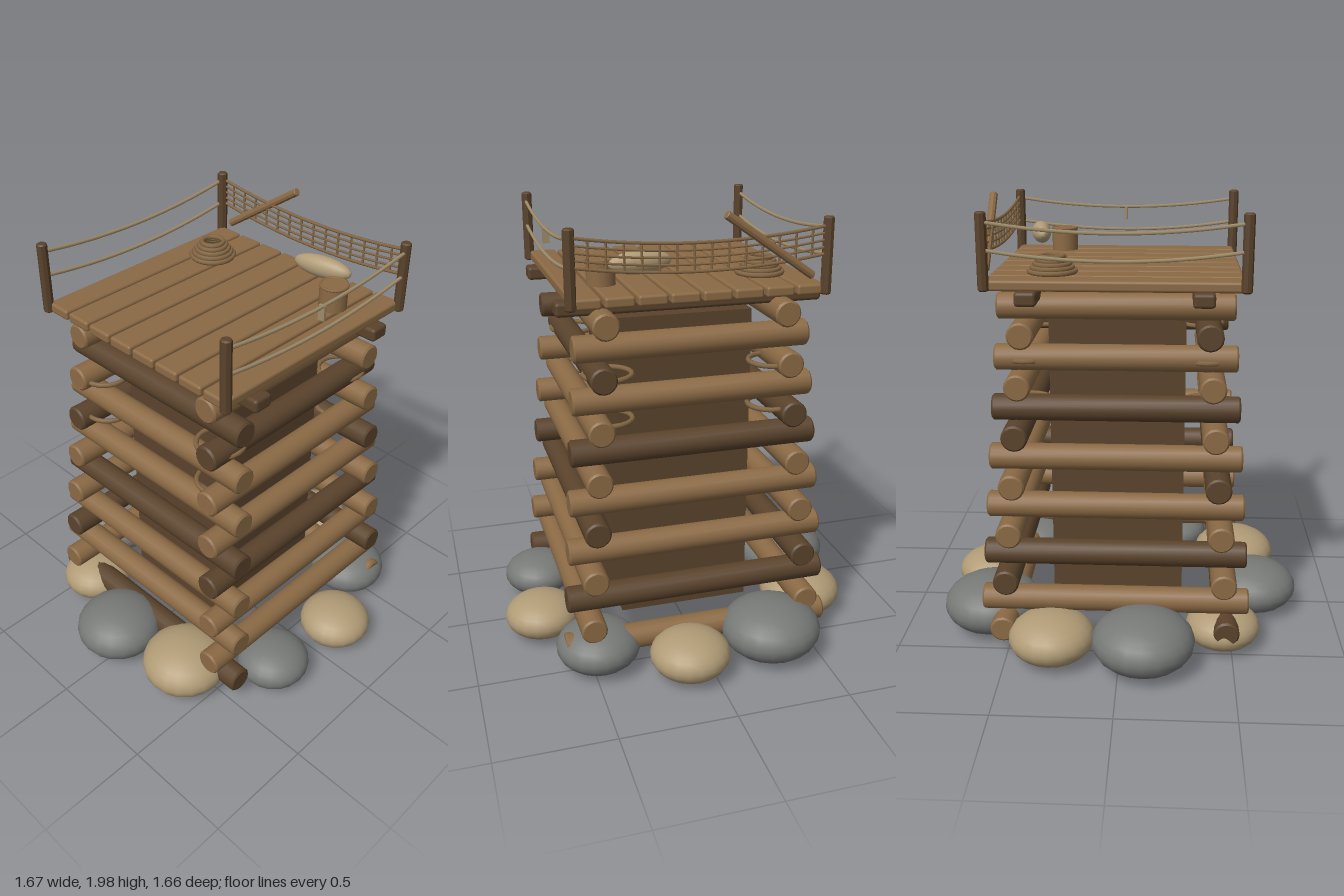
import * as THREE from 'three';
import { toCreasedNormals } from 'three/addons/utils/BufferGeometryUtils.js';
import { RoundedBoxGeometry } from 'three/addons/geometries/RoundedBoxGeometry.js';

const CX = 0.024, CZ = -0.02; // tower axis

function material(name, color) {
  const m = new THREE.MeshStandardMaterial({ color });
  m.name = name;
  return m;
}

export function createModel() {
  const wood = material('light wood', 0x8b6a45);
  const darkWood = material('dark wood', 0x5a432c);
  const rope = material('pale rope', 0x9f8c6a);
  const twine = material('brown twine', 0x846744);
  const grey = material('grey stone', 0x777977);
  const tan = material('tan stone', 0xb09b76);

  const model = new THREE.Group();
  model.name = 'logTower';

  const group = (name) => {
    const g = new THREE.Group();
    g.name = name;
    model.add(g);
    return g;
  };
  const add = (parent, name, geometry, mat, x = 0, y = 0, z = 0) => {
    const mesh = new THREE.Mesh(geometry, mat);
    mesh.name = name;
    mesh.position.set(x, y, z);
    parent.add(mesh);
    return mesh;
  };

  // Round bar along y with chamfered ends
  const bar = (radius, length, sides = 16, chamfer = 0.008) => {
    const h = length / 2;
    const profile = [
      [0, -h], [radius - chamfer, -h], [radius, -h + chamfer],
      [radius, h - chamfer], [radius - chamfer, h], [0, h],
    ].map(([r, y]) => new THREE.Vector2(r, y));
    return toCreasedNormals(new THREE.LatheGeometry(profile, sides), 0.6);
  };

  // Rope between two points, hanging by a given sag
  const hangingRope = (a, b, sag, radius) => {
    const points = [];
    for (let i = 0; i <= 8; i++) {
      const t = i / 8;
      const p = new THREE.Vector3().lerpVectors(a, b, t);
      p.y -= sag * 4 * t * (1 - t);
      points.push(p);
    }
    return new THREE.TubeGeometry(new THREE.CatmullRomCurve3(points), 20, radius, 6);
  };

  // Ring of foundation stones: x, z, radius
  const stones = group('foundationStones');
  [
    [-0.295, -0.6, 0.222], [0.1, -0.66, 0.176], [0.47, -0.49, 0.185], [0.665, -0.153, 0.168],
    [0.615, 0.243, 0.168], [0.34, 0.55, 0.2], [-0.047, 0.622, 0.203], [-0.41, 0.46, 0.167],
    [-0.615, 0.108, 0.225], [-0.565, -0.295, 0.19],
  ].forEach(([x, z, r], i) => {
    const ry = r * 0.58;
    add(stones, 'stone', new THREE.SphereGeometry(1, 20, 14), i % 2 ? tan : grey, x, 0.015 + ry, z)
      .scale.set(r, ry, r);
  });

  // Solid core inside the stacked logs
  add(model, 'core', new THREE.BoxGeometry(0.59, 1.38, 0.59), darkWood, CX, 0.85, CZ);

  // Crossed pairs of logs, narrowing upward
  const logs = group('logWalls');
  for (let i = 0; i < 14; i++) {
    const y = 0.15 + 0.1082 * i;
    const offset = 0.49 - 0.0083 * i;
    const geometry = bar(0.057, 1.19 - 0.0152 * i);
    const alongX = i % 2 === 0;
    for (const side of [-1, 1]) {
      const shift = (alongX ? side === -1 : side === 1) ? 1 : 0;
      const mat = (i + shift) % 3 === 0 ? darkWood : wood;
      const log = add(logs, 'log', geometry, mat, CX, y, CZ);
      if (alongX) {
        log.rotation.z = Math.PI / 2;
        log.position.z += side * offset;
      } else {
        log.rotation.x = Math.PI / 2;
        log.position.x += side * offset;
      }
    }
  }

  // Lashing rings at the upper corners
  const lashings = group('lashings');
  for (const y of [1.14, 1.333])
    for (const sx of [-1, 1])
      for (const sz of [-1, 1])
        add(lashings, 'lashing', new THREE.TorusGeometry(0.1, 0.011, 6, 20), twine,
          CX + sx * 0.358, y, CZ + sz * 0.382).rotation.x = Math.PI / 2;

  // Deck beams and planks
  const deck = group('deck');
  for (const z of [-0.375, 0.34])
    add(deck, 'deckBeam', new RoundedBoxGeometry(1.13, 0.06, 0.09, 2, 0.015), darkWood, CX, 1.613, z);
  for (let i = 0; i < 8; i++)
    add(deck, 'plank', new RoundedBoxGeometry(0.121, 0.045, 1.055, 2, 0.012), wood,
      CX + (i - 3.5) * 0.1325, 1.661, CZ);

  // Corner posts
  const posts = group('cornerPosts');
  const X0 = -0.5, X1 = 0.55, Z0 = -0.545, Z1 = 0.507;
  for (const x of [X0, X1])
    for (const z of [Z0, Z1])
      add(posts, 'post', bar(0.023, 0.315, 8, 0.006), darkWood, x, 1.7975, z);

  // Sagging ropes on the two sides
  const railings = group('ropeRailings');
  const vec = (x, y, z) => new THREE.Vector3(x, y, z);
  for (const x of [X0 - 0.005, X1 + 0.005])
    for (const y of [1.915, 1.805])
      add(railings, 'railRope', hangingRope(vec(x, y, Z1), vec(x, y, Z0), 0.042, 0.008), rope);
  add(railings, 'hangingTag', new THREE.BoxGeometry(0.03, 0.065, 0.012), rope, X1, 1.842, CZ);

  // Net across the back
  const net = group('backNet');
  const netZ = Z0 - 0.005, top = 1.92, step = 0.028;
  for (let r = 0; r < 5; r++)
    add(net, 'netRow', hangingRope(vec(X0, top - r * step, netZ), vec(X1, top - r * step, netZ),
      0.042, r === 0 || r === 4 ? 0.007 : 0.005), twine);
  for (let c = 1; c < 15; c++) {
    const t = c / 15;
    add(net, 'netCord', new THREE.CylinderGeometry(0.005, 0.005, step * 4, 6), twine,
      X0 + (X1 - X0) * t, top - step * 2 - 0.042 * 4 * t * (1 - t), netZ);
  }

  // Pole leaning on the net
  const foot = vec(-0.44, 1.72, -0.545), tip = vec(-0.06, 1.983, -0.567);
  const along = tip.clone().sub(foot);
  const pole = add(model, 'leaningPole', bar(0.018, along.length(), 10, 0.003), wood);
  pole.position.copy(foot).addScaledVector(along, 0.5);
  pole.quaternion.setFromUnitVectors(vec(0, 1, 0), along.normalize());

  // Coiled rope
  const coil = group('ropeCoil');
  for (let i = 0; i < 5; i++)
    add(coil, 'coilTurn', new THREE.TorusGeometry(0.097 - i * 0.012, 0.011, 6, 20), twine,
      -0.31, 1.694 + i * 0.015, -0.288).rotation.x = Math.PI / 2;

  // Bucket
  const bucket = group('bucket');
  add(bucket, 'bucketBody', new THREE.CylinderGeometry(0.061, 0.061, 0.105, 16), wood, 0.38, 1.7375, -0.308);
  add(bucket, 'bucketRim', new THREE.TorusGeometry(0.058, 0.006, 6, 20), wood, 0.38, 1.788, -0.308)
    .rotation.x = Math.PI / 2;

  // Long smooth bundle
  const bundle = add(model, 'bundle', new THREE.SphereGeometry(1, 20, 14), tan, 0.24, 1.785, -0.403);
  bundle.scale.set(0.138, 0.048, 0.043);
  bundle.rotation.y = 0.18;

  return model;
}
